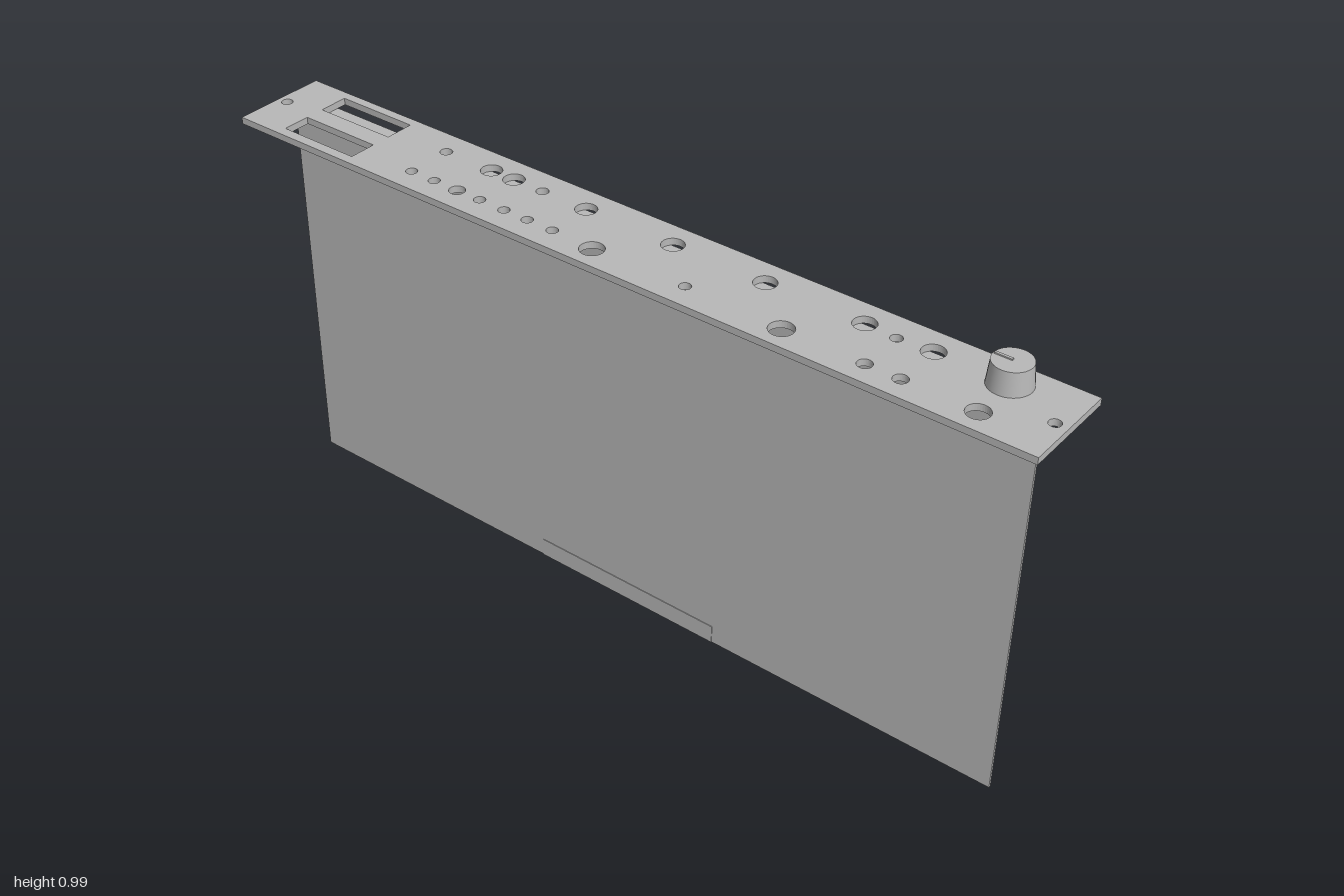
import * as THREE from 'three';

export function createModel() {
  const group = new THREE.Group();
  const grey = new THREE.MeshStandardMaterial({ color: 0xb8b8b8 });
  grey.name = 'plain grey';

  const add = (name, geometry, x = 0, y = 0, z = 0) => {
    const mesh = new THREE.Mesh(geometry, grey);
    mesh.name = name;
    mesh.position.set(x, y, z);
    group.add(mesh);
    return mesh;
  };
  const box = (name, x0, x1, y0, y1, z0, z1) =>
    add(name, new THREE.BoxGeometry(x1 - x0, y1 - y0, z1 - z0),
      (x0 + x1) / 2, (y0 + y1) / 2, (z0 + z1) / 2);
  const rect = (path, x0, x1, z0, z1) => {
    path.moveTo(x0, z0);
    path.lineTo(x1, z0);
    path.lineTo(x1, z1);
    path.lineTo(x0, z1);
    path.closePath();
    return path;
  };

  // Front panel outline with slots and round holes
  const panel = rect(new THREE.Shape(), -0.114, 0.114, -1, 1);
  panel.holes.push(rect(new THREE.Path(), -0.09, -0.024, -0.887, -0.684));
  panel.holes.push(rect(new THREE.Path(), 0.022, 0.092, -0.887, -0.684));
  const hole = (x, z, r) =>
    panel.holes.push(new THREE.Path().absarc(x, z, r, 0, Math.PI * 2, true));

  // Left row: [z, radius]
  [[-0.54, 0.013], [-0.475, 0.013], [-0.41, 0.018], [-0.347, 0.013], [-0.28, 0.013],
    [-0.217, 0.013], [-0.15, 0.013], [0.188, 0.013]].forEach(([z, r]) => hole(-0.056, z, r));
  [[-0.042, 0.027], [0.42, 0.027], [0.607, 0.016], [0.685, 0.016], [0.848, 0.025]]
    .forEach(([z, r]) => hole(-0.061, z, r));
  // Right row
  [[-0.54, 0.014], [-0.41, 0.024], [-0.347, 0.024], [-0.268, 0.014], [-0.15, 0.024],
    [0.075, 0.025], [0.302, 0.025], [0.533, 0.025], [0.607, 0.013], [0.685, 0.025]]
    .forEach(([z, r]) => hole(r < 0.0135 ? 0.047 : 0.052, z, r));
  // Mounting holes at both ends
  hole(0, -0.975, 0.013);
  hole(-0.006, 0.972, 0.013);

  const panelGeometry = new THREE.ExtrudeGeometry(panel,
    { depth: 0.016, bevelEnabled: false, curveSegments: 16 });
  panelGeometry.rotateX(Math.PI / 2);
  add('frontPanel', panelGeometry, 0, 0.934, 0);

  // Board, backing strip and edge connector
  box('circuitBoard', -0.003, 0.003, 0, 0.918, -0.945, 0.945);
  box('backingStrip', -0.003, 0.07, 0.909, 0.918, -0.945, 0.945);
  box('edgeConnector', -0.0045, 0.0045, 0, 0.045, -0.245, 0.24);

  // Tapered knob with a pointer ridge
  add('knob', new THREE.CylinderGeometry(0.041, 0.046, 0.052, 40), 0.05, 0.96, 0.848);
  box('knobPointer', 0.047, 0.053, 0.98, 0.989, 0.81, 0.848);

  return group;
}
